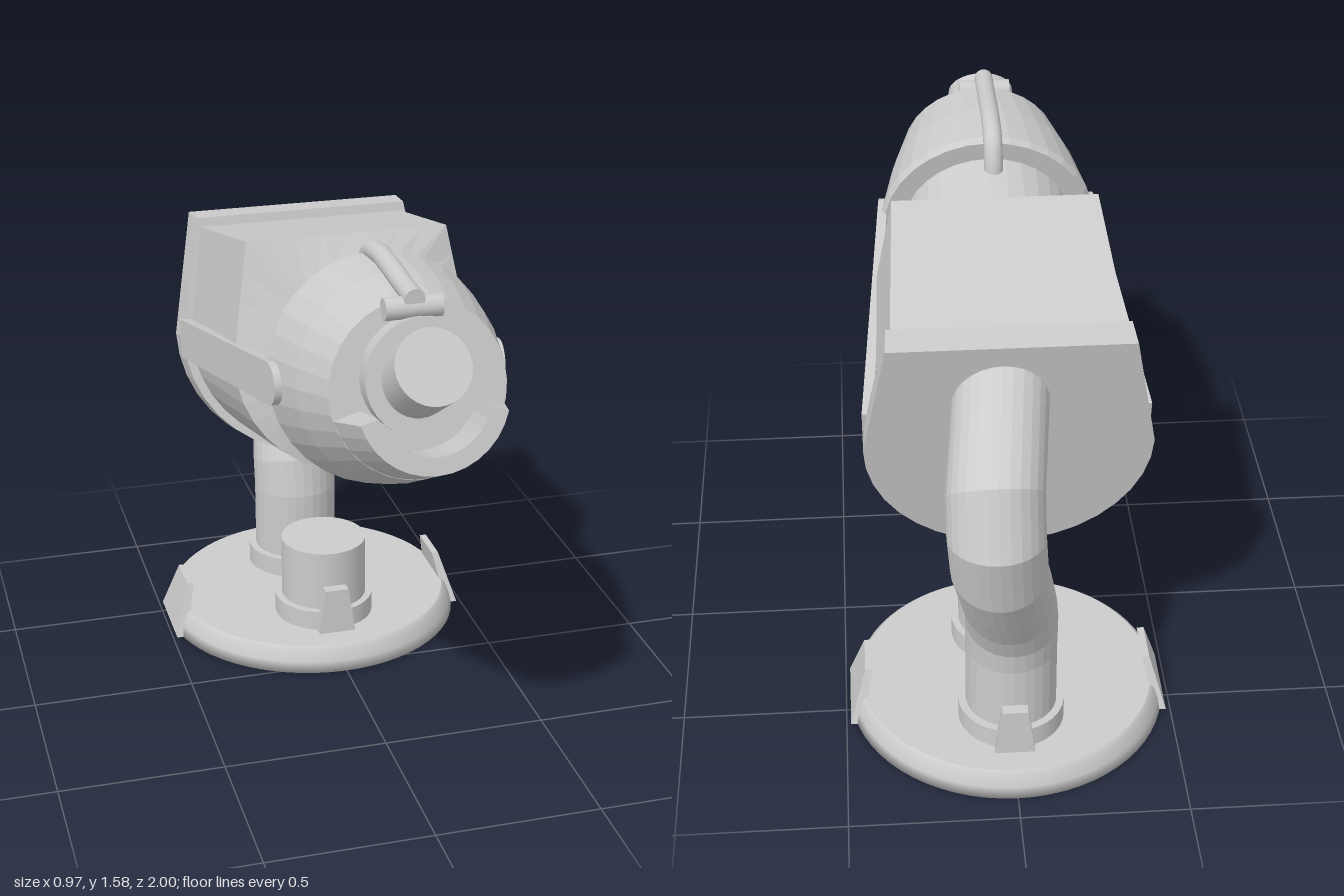
import * as THREE from 'three';

const smooth = new THREE.MeshStandardMaterial({ color: 0xcccccc });
const flat = new THREE.MeshStandardMaterial({ color: 0xcccccc, flatShading: true });

function add(parent, name, geometry, material = flat) {
  const mesh = new THREE.Mesh(geometry, material);
  mesh.name = name;
  parent.add(mesh);
  return mesh;
}

// Skin over closed cross-sections, each counter-clockwise about the sweep direction, capped at both ends
function loft(sections) {
  const n = sections[0].length, pos = [], index = [];
  sections.forEach(s => s.forEach(p => pos.push(...p)));
  for (let i = 0; i < sections.length - 1; i++) {
    for (let j = 0; j < n; j++) {
      const a = i * n + j, b = i * n + (j + 1) % n;
      index.push(a, b, b + n, a, b + n, a + n);
    }
  }
  [0, sections.length - 1].forEach(k => {
    const centre = [0, 1, 2].map(c => sections[k].reduce((sum, p) => sum + p[c], 0) / n);
    const ci = pos.length / 3;
    pos.push(...centre);
    for (let j = 0; j < n; j++) {
      const a = k * n + j, b = k * n + (j + 1) % n;
      if (k === 0) index.push(ci, b, a); else index.push(ci, a, b);
    }
  });
  const g = new THREE.BufferGeometry();
  g.setAttribute('position', new THREE.Float32BufferAttribute(pos, 3));
  g.setIndex(index);
  const out = g.toNonIndexed();
  out.computeVertexNormals();
  return out;
}

// Square-topped, round-bottomed section
function dSection(z, r, topHalf, top) {
  const pts = [];
  for (let i = 0; i < 8; i++) pts.push([topHalf * (1 - i / 4), top, z]);
  for (let i = 0; i < 4; i++) pts.push([-topHalf - (r - topHalf) * i / 4, top * (1 - i / 4), z]);
  for (let i = 0; i < 18; i++) {
    const a = Math.PI * (1 + i / 18);
    pts.push([r * Math.cos(a), r * Math.sin(a), z]);
  }
  for (let i = 0; i < 4; i++) pts.push([r - (r - topHalf) * i / 4, top * i / 4, z]);
  return pts;
}

const toCircle = (section, z, r) => section.map(([x, y]) => {
  const k = r / Math.hypot(x, y);
  return [x * k, y * k, z];
});

// Pipe with mitred joints; path bends mainly in the y-z plane
function pipe(path, r) {
  const dir = (a, b) => [b[1] - a[1], b[2] - a[2]].map(v => v / Math.hypot(b[1] - a[1], b[2] - a[2]));
  return loft(path.map((p, i) => {
    const d0 = dir(path[Math.max(i - 1, 0)], path[Math.max(i, 1)]);
    const d1 = i < path.length - 1 ? dir(p, path[i + 1]) : d0;
    const len = Math.hypot(d0[0] + d1[0], d0[1] + d1[1]);
    const dy = (d0[0] + d1[0]) / len, dz = (d0[1] + d1[1]) / len;
    const mitre = r / (len / 2);
    return Array.from({ length: 28 }, (_, j) => {
      const a = j / 28 * Math.PI * 2, v = Math.sin(a) * mitre;
      return [p[0] + Math.cos(a) * r, p[1] + v * dz, p[2] - v * dy];
    });
  }));
}

// Tapered slab standing at the +x side of its parent
function clip(y0, y1, in0, out0, in1, out1, half0, half1) {
  const rect = (y, a, b, h) => [[a, y, -h], [a, y, h], [b, y, h], [b, y, -h]];
  return loft([rect(y0, in0, out0, half0), rect(y1, in1, out1, half1)]);
}

const lathe = (points, segments) =>
  new THREE.LatheGeometry(points.map(p => new THREE.Vector2(...p)), segments);

function createBase() {
  const base = new THREE.Group();
  base.name = 'base';
  base.position.z = -0.435;
  add(base, 'baseDisc', lathe([[0, 0], [0.485, 0], [0.477, 0.035], [0.462, 0.07], [0.45, 0.08]], 64), smooth);
  add(base, 'baseTop', new THREE.CircleGeometry(0.45, 64).rotateX(-Math.PI / 2).translate(0, 0.08, 0), smooth);
  for (const turn of [0, Math.PI]) {
    add(base, 'sideClip', clip(0, 0.165, 0.45, 0.487, 0.415, 0.437, 0.13, 0.07)).rotation.y = turn;
  }
  // Sockets for the pod and the pipe, each with a front and a back clip
  for (const [name, z] of [['pod', 0.19], ['pipe', -0.195]]) {
    const socket = new THREE.Group();
    socket.name = name + 'Socket';
    socket.position.z = z;
    base.add(socket);
    add(socket, name + 'Collar', new THREE.CylinderGeometry(0.16, 0.16, 0.07, 40).translate(0, 0.11, 0), smooth);
    for (const turn of [-Math.PI / 2, Math.PI / 2]) {
      add(socket, name + 'Clip', clip(0.08, 0.23, 0.14, 0.18, 0.14, 0.175, 0.06, 0.038)).rotation.y = turn;
    }
    if (name === 'pod') {
      add(socket, 'pod', new THREE.CylinderGeometry(0.138, 0.138, 0.27, 40).translate(0, 0.21, 0), smooth);
    }
  }
  return base;
}

function createHead() {
  const head = new THREE.Group();
  head.name = 'head';
  head.position.set(0, 1, -0.5);
  head.rotation.x = -0.213;

  // Housing with its front blending from square to round, and the rear rim
  const front = dSection(0.638, 0.365, 0.305, 0.353);
  add(head, 'housing', loft([dSection(0.03, 0.385, 0.33, 0.345), front, toCircle(front, 0.672, 0.265)]));
  add(head, 'rearRim', loft([dSection(-0.03, 0.415, 0.345, 0.386), dSection(0.072, 0.41, 0.34, 0.374)]));

  // Neck and tapering nose
  add(head, 'neck', new THREE.CylinderGeometry(0.265, 0.265, 0.36, 32).rotateX(Math.PI / 2).translate(0, 0, 0.78));
  add(head, 'nose', lathe([[0.2, 0.925], [0.325, 0.925], [0.335, 0.945], [0.298, 1.13], [0.25, 1.3], [0, 1.3]], 32)
    .rotateX(Math.PI / 2));

  // Curved lower lip
  const lip = [[1.28, 0.17], [1.445, 0.16], [1.445, 0.21], [1.28, 0.254]];
  add(head, 'lowerLip', loft(Array.from({ length: 15 }, (_, i) => {
    const a = THREE.MathUtils.degToRad(195 + i / 14 * 150);
    return lip.map(([z, r]) => [r * Math.cos(a), r * Math.sin(a), z]);
  })));

  // Front plate and the barrel angled up from it
  add(head, 'frontPlate', new THREE.CylinderGeometry(0.163, 0.163, 0.1, 32)
    .rotateX(Math.PI / 2).translate(0, 0.04, 1.31), smooth);

  // Straps along both sides, rounded over the front pivots
  const strap = new THREE.Shape();
  strap.moveTo(0, -0.062);
  strap.lineTo(0.92, -0.062);
  strap.absarc(0.92, 0, 0.062, -Math.PI / 2, Math.PI / 2);
  strap.lineTo(0, 0.062);
  const strapGeometry = new THREE.ExtrudeGeometry(strap, { depth: 0.03, bevelEnabled: false, curveSegments: 12 })
    .translate(0, 0, -0.015).rotateY(-Math.PI / 2);
  for (const side of [1, -1]) {
    const mesh = add(head, side > 0 ? 'leftStrap' : 'rightStrap', strapGeometry);
    mesh.position.set(side * 0.4, -0.005, 0.06);
    mesh.rotation.y = -side * 0.08;
  }
  return head;
}

export function createModel() {
  const model = new THREE.Group();
  model.name = 'model';
  model.add(createBase(), createHead());

  // Bent support pipe
  add(model, 'supportPipe', pipe([
    [0, 0.08, -0.63], [0, 0.36, -0.63], [0, 0.46, -0.645], [0.01, 0.56, -0.69], [0.03, 0.68, -0.765],
    [0.05, 0.79, -0.83], [0.06, 0.93, -0.865], [0.06, 1.04, -0.825], [0.02, 1.2, -0.5],
  ], 0.137));

  // Barrel
  const barrel = add(model, 'barrel', new THREE.CylinderGeometry(0.105, 0.105, 0.26, 32)
    .rotateX(Math.PI / 2).translate(0, 0, -0.13), smooth);
  barrel.position.set(-0.013, 1.405, 0.94);
  barrel.rotation.x = -0.56;

  // Top handle and its cross-bar
  const path = new THREE.CatmullRomCurve3([
    [1.4, 0.3], [1.47, 0.31], [1.525, 0.345], [1.545, 0.43], [1.545, 0.52], [1.535, 0.65], [1.53, 0.77],
  ].map(([y, z]) => new THREE.Vector3(-0.013, y, z)));
  add(model, 'handle', new THREE.TubeGeometry(path, 40, 0.029, 14), smooth);
  add(model, 'handleEnd', new THREE.CircleGeometry(0.029, 14).translate(-0.013, 1.53, 0.77), smooth);
  add(model, 'handleBar', new THREE.CylinderGeometry(0.031, 0.031, 0.16, 16)
    .rotateZ(Math.PI / 2).translate(-0.013, 1.5, 0.745), smooth);
  return model;
}
